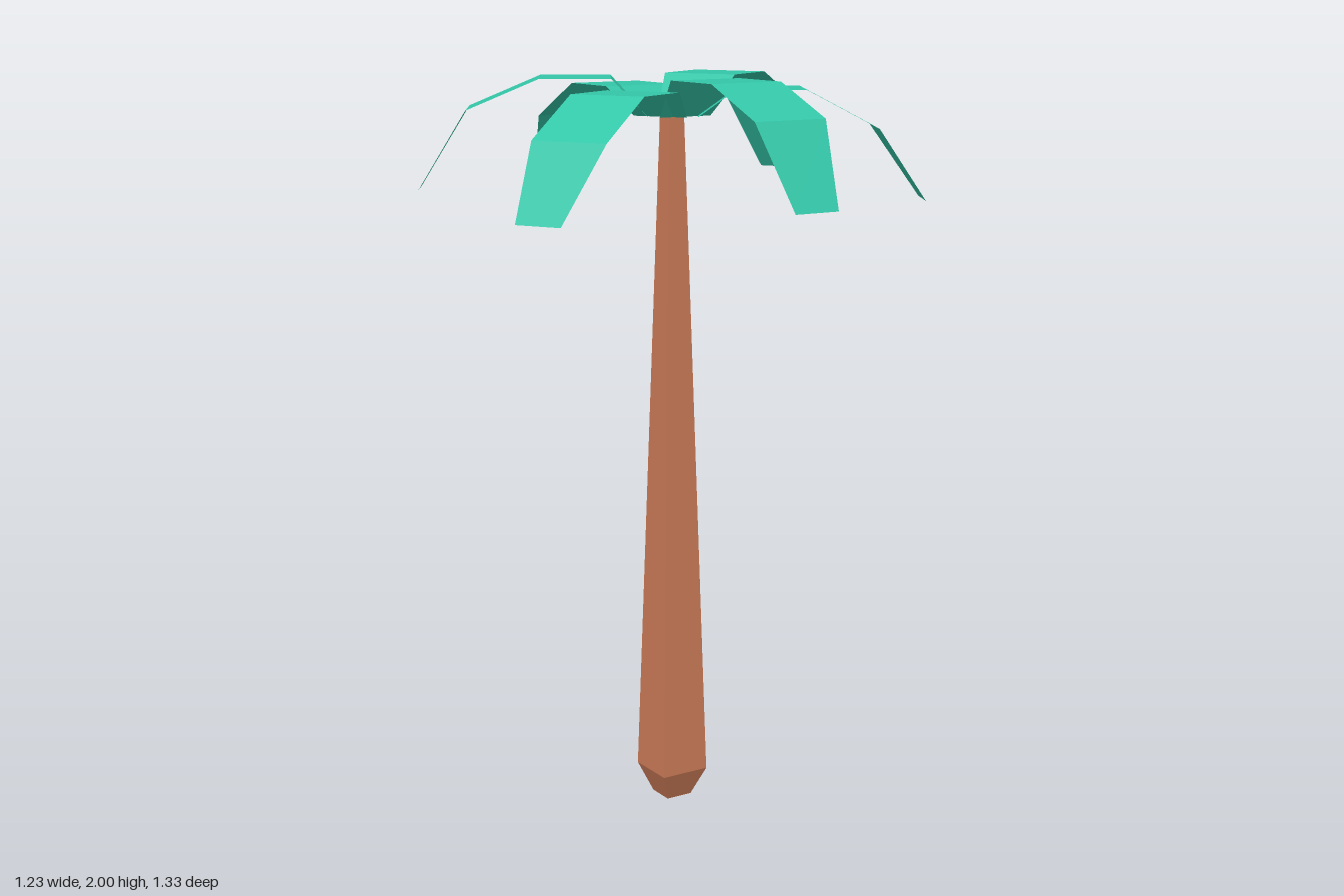
import * as THREE from 'three';

const leafMaterial = new THREE.MeshStandardMaterial({ color: 0x34c6a8, flatShading: true, side: THREE.DoubleSide });
const trunkMaterial = new THREE.MeshStandardMaterial({ color: 0xcc7b58, flatShading: true });

// Open strip along +z from cross-sections [z, y, xMin, xMax]
function stripGeometry(sections) {
  const positions = [];
  const index = [];
  sections.forEach(([z, y, xMin, xMax], i) => {
    positions.push(xMin, y, z, xMax, y, z);
    if (i > 0) {
      const a = 2 * (i - 1);
      index.push(a, a + 2, a + 1, a + 1, a + 2, a + 3);
    }
  });
  const geometry = new THREE.BufferGeometry();
  geometry.setAttribute('position', new THREE.Float32BufferAttribute(positions, 3));
  geometry.setIndex(index);
  const flat = geometry.toNonIndexed();
  flat.computeVertexNormals();
  return flat;
}

// Frond: rises from the crown floor, runs level, then droops in two folds to a skewed tip
function frondGeometry(levelY, foldY, tipY) {
  return stripGeometry([
    [0.065, 1.9, -0.078, 0.078],
    [0.16, levelY, -0.105, 0.105],
    [0.345, levelY, -0.105, 0.105],
    [0.535, foldY, -0.105, 0.105],
    [0.665, tipY, -0.075, 0.052],
  ]);
}

export function createModel() {
  const model = new THREE.Group();
  model.name = 'palmTree';

  // Square tapering trunk with a chamfered foot
  const profile = [[0, 0], [0.038, 0], [0.07, 0.08], [0.023, 1.9]]
    .map(([half, y]) => new THREE.Vector2(half * Math.SQRT2, y));
  const trunkGeometry = new THREE.LatheGeometry(profile, 4, Math.PI / 4).toNonIndexed();
  trunkGeometry.computeVertexNormals();
  const trunk = new THREE.Mesh(trunkGeometry, trunkMaterial);
  trunk.name = 'trunk';
  model.add(trunk);

  // Hexagonal floor in the middle of the crown
  const floor = new THREE.Mesh(new THREE.CircleGeometry(0.075, 6).rotateX(-Math.PI / 2), leafMaterial);
  floor.name = 'crownFloor';
  floor.position.y = 1.9;
  model.add(floor);

  // Six fronds, alternately high and low
  const high = frondGeometry(2.0, 1.92, 1.71);
  const low = frondGeometry(1.97, 1.87, 1.68);
  const fronds = new THREE.Group();
  fronds.name = 'fronds';
  for (let i = 0; i < 6; i++) {
    const frond = new THREE.Mesh(i % 2 ? low : high, leafMaterial);
    frond.name = i % 2 ? 'lowFrond' : 'highFrond';
    frond.rotation.y = i * Math.PI / 3;
    fronds.add(frond);
  }
  model.add(fronds);

  return model;
}
